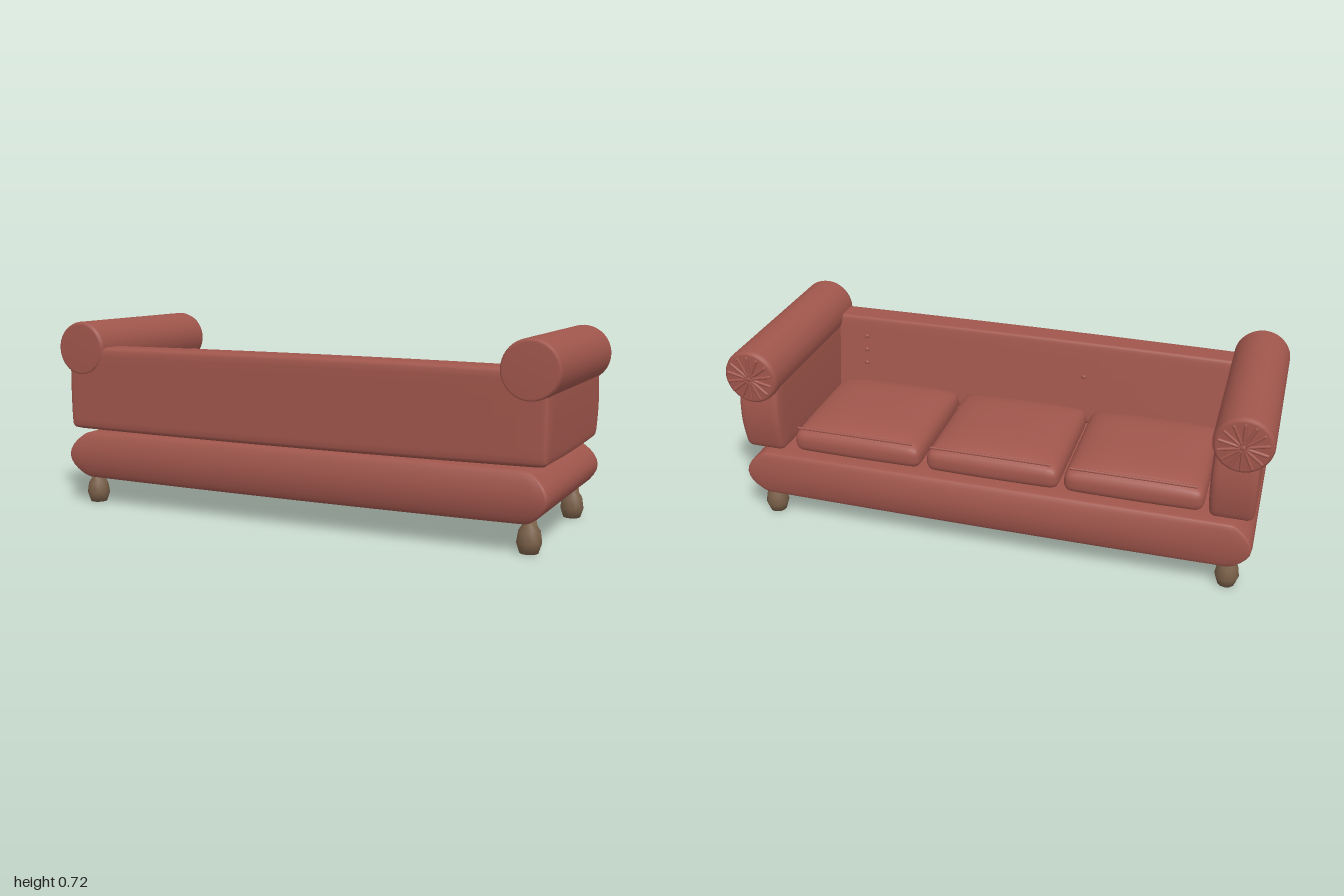
import * as THREE from 'three';
import { mergeVertices } from 'three/addons/utils/BufferGeometryUtils.js';

const leather = new THREE.MeshStandardMaterial({ color: 0xa0564c });
const wood = new THREE.MeshStandardMaterial({ color: 0x7a6049 });

// Rounded, subdivided box whose vertices can be reshaped by rule(p, u, v, w),
// where u, v, w run from -1 to 1 across the box.
function softBox(w, h, d, r, rule) {
  const g = new THREE.BoxGeometry(2, 2, 2, 20, 14, 16);
  const pos = g.attributes.position;
  const half = [w / 2, h / 2, d / 2];
  const p = new THREE.Vector3(), c = new THREE.Vector3();
  for (let i = 0; i < pos.count; i++) {
    p.fromBufferAttribute(pos, i);
    half.forEach((s, k) => {
      const q = Math.sin(p.getComponent(k) * Math.PI / 2) * s;
      p.setComponent(k, q);
      c.setComponent(k, THREE.MathUtils.clamp(q, r - s, s - r));
    });
    p.sub(c).setLength(r).add(c);
    if (rule) rule(p, p.x / half[0], p.y / half[1], p.z / half[2]);
    pos.setXYZ(i, p.x, p.y, p.z);
  }
  g.deleteAttribute('normal');
  g.deleteAttribute('uv');
  const m = mergeVertices(g, 1e-5);
  m.computeVertexNormals();
  return m;
}

function add(parent, name, geometry, material, x = 0, y = 0, z = 0) {
  const mesh = new THREE.Mesh(geometry, material);
  mesh.name = name;
  mesh.position.set(x, y, z);
  parent.add(mesh);
  return mesh;
}

const lathe = (pts, n) => new THREE.LatheGeometry(pts.map(([a, b]) => new THREE.Vector2(a, b)), n);

// Pleated rosette: radial folds around a button, facing -z
function rosette(x) {
  const g = new THREE.Group();
  g.name = 'armRosette';
  g.position.set(x, 0.614, -0.359);
  const fold = new THREE.CapsuleGeometry(0.006, 0.07, 3, 8);
  const count = 14;
  for (let i = 0; i < count; i++) {
    const a = (i / count) * Math.PI * 2;
    const m = add(g, 'pleat', fold, leather, -Math.sin(a) * 0.049, Math.cos(a) * 0.049, -0.002);
    m.rotation.z = a;
  }
  const button = add(g, 'rosetteButton', new THREE.SphereGeometry(0.012, 12, 8), leather, 0, 0, -0.003);
  button.scale.z = 0.5;
  return g;
}

export function createModel() {
  const sofa = new THREE.Group();
  sofa.name = 'sofa';

  // Upholstered base, bulging at mid-height and along the seat edge
  add(sofa, 'base', softBox(1.78, 0.182, 0.676, 0.014, (p, u, v, w) => {
    const belly = 1 - v * v;
    p.x += u * 0.073 * belly;
    p.z += w * 0.025 * belly * (w < 0 ? 1 - 0.5 * u * u : 1);
    p.y += v * 0.004 * (1 - u * u);
  }), leather, 0, 0.195, 0.006);

  // Backrest, thinner towards the top on the seat side
  add(sofa, 'backrest', softBox(1.91, 0.32, 0.165, 0.025, (p, u, v, w) => {
    if (w < 0) p.z += 0.055 * -w * (v + 1) / 2;
    p.y += v * 0.006 * (1 - u * u);
  }), leather, 0, 0.459, 0.28);

  // Rolled arms with padded side panels and pleated ends
  const roll = lathe([[0, -0.356], [0.09, -0.356], [0.099, -0.351], [0.104, -0.335],
    [0.104, 0.35], [0.1, 0.362], [0.092, 0.367], [0, 0.367]], 40);
  roll.rotateX(Math.PI / 2);
  const panel = softBox(0.155, 0.3, 0.69, 0.025, (p, u, v, w) => {
    if (w < 0) p.z -= 0.024 * -w * Math.sin((v + 1) * Math.PI / 2);
    p.x += u * 0.004 * (1 - v * v);
    p.y -= v < 0 ? 0.006 * (1 - w * w) : 0;
  });
  for (const s of [-1, 1]) {
    add(sofa, 'armRoll', roll, leather, s * 0.893, 0.614, 0);
    add(sofa, 'armPanel', panel, leather, s * 0.878, 0.452, 0.016);
    sofa.add(rosette(s * 0.893));
  }

  // Three seat cushions with piping along the seat edge
  const cushion = softBox(0.506, 0.085, 0.495, 0.034, (p, u, v, w) => {
    if (v > 0) p.y += 0.038 * v * (1 - u ** 4) * (1 - w ** 4);
    p.z += w * 0.004 * (1 - u * u);
  });
  const piping = new THREE.CapsuleGeometry(0.005, 0.45, 3, 8);
  piping.rotateZ(Math.PI / 2);
  for (const x of [-0.527, -0.005, 0.523]) {
    add(sofa, 'seatCushion', cushion, leather, x, 0.33, -0.05);
    add(sofa, 'cushionPiping', piping, leather, x, 0.397, -0.297);
  }

  // Buttons on the inside of the backrest
  const button = new THREE.SphereGeometry(0.009, 12, 8);
  for (const [x, y] of [[0.68, 0.545], [0.68, 0.49], [0.68, 0.435], [-0.23, 0.49]]) {
    add(sofa, 'backButton', button, leather, x, y, 0.197 + 0.055 * (y - 0.3) / 0.32);
  }

  // Turned wooden feet
  const foot = lathe([[0, 0], [0.032, 0], [0.044, 0.036], [0.038, 0.074], [0.026, 0.092],
    [0.024, 0.108], [0, 0.108]], 12);
  for (const x of [-0.884, 0.884]) {
    for (const z of [-0.275, 0.29]) add(sofa, 'foot', foot, wood, x, 0, z);
  }

  return sofa;
}
